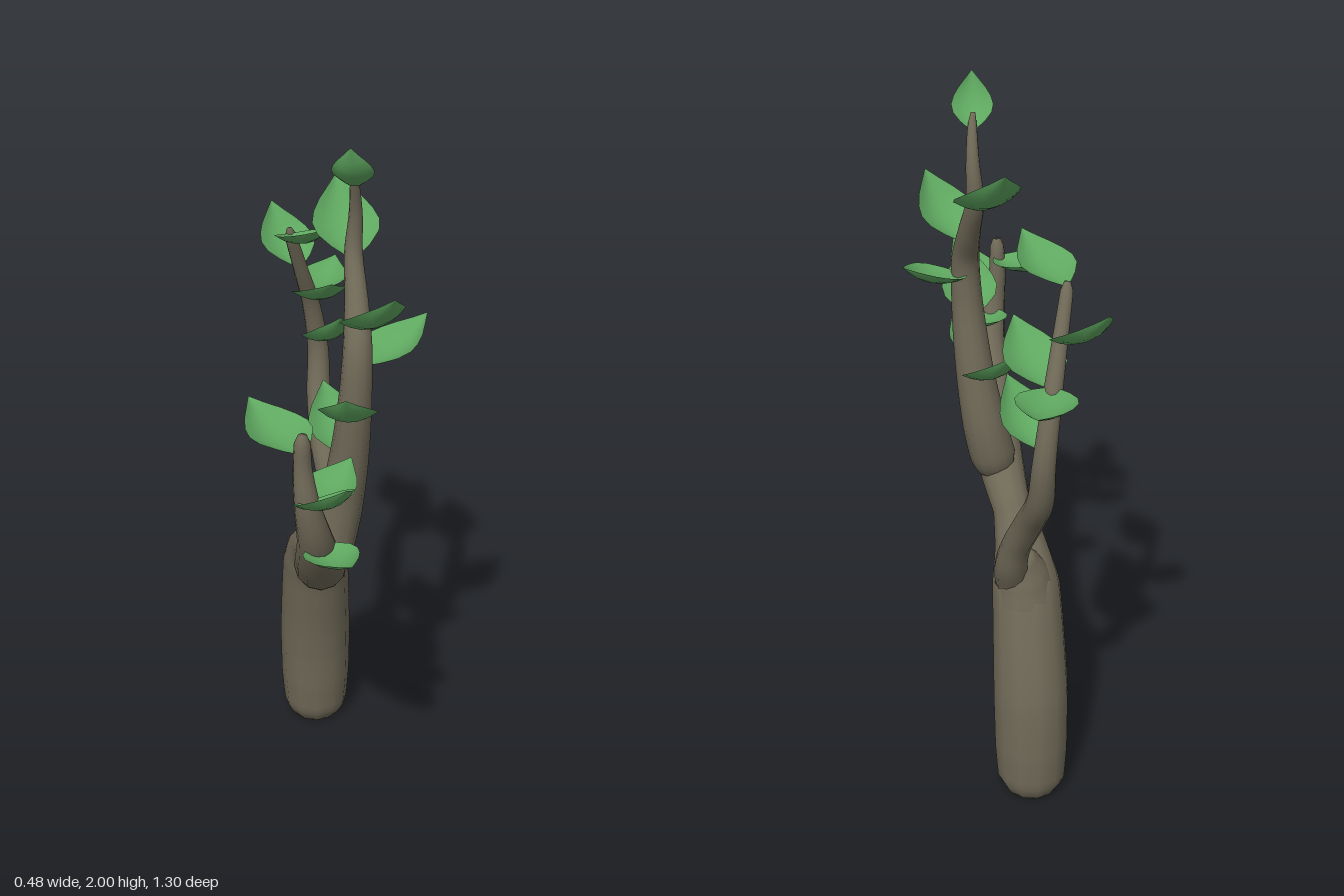
import * as THREE from 'three';

const bark = new THREE.MeshStandardMaterial({ color: 0x6f6957 });
const leafGreen = new THREE.MeshStandardMaterial({ color: 0x5fa860, side: THREE.DoubleSide });

// Tapered, capped limb through points [x, y, z, radius]
function limb(name, pts, steps, sides = 12) {
  const curve = new THREE.CatmullRomCurve3(pts.map(p => new THREE.Vector3(p[0], p[1], p[2])));
  const frames = curve.computeFrenetFrames(steps);
  const pos = [], idx = [];
  for (let i = 0; i <= steps; i++) {
    const c = curve.getPointAt(i / steps);
    const s = curve.getUtoTmapping(i / steps) * (pts.length - 1);
    const k = Math.min(Math.floor(s), pts.length - 2);
    const r = THREE.MathUtils.lerp(pts[k][3], pts[k + 1][3], s - k);
    for (let j = 0; j < sides; j++) {
      const a = (j / sides) * Math.PI * 2;
      const v = c.clone()
        .addScaledVector(frames.normals[i], Math.cos(a) * r)
        .addScaledVector(frames.binormals[i], Math.sin(a) * r);
      pos.push(v.x, v.y, v.z);
      if (i < steps) {
        const p = i * sides + j, q = i * sides + (j + 1) % sides;
        idx.push(p, q, p + sides, q, q + sides, p + sides);
      }
    }
  }
  // End caps
  const start = pos.length / 3, last = steps * sides;
  for (const u of [0, 1]) pos.push(...curve.getPointAt(u).toArray());
  for (let j = 0; j < sides; j++) {
    const n = (j + 1) % sides;
    idx.push(start, n, j, start + 1, last + j, last + n);
  }
  const g = new THREE.BufferGeometry();
  g.setAttribute('position', new THREE.Float32BufferAttribute(pos, 3));
  g.setIndex(idx);
  g.computeVertexNormals();
  const mesh = new THREE.Mesh(g, bark);
  mesh.name = name;
  return mesh;
}

// Unit leaf: base at the origin, tip at +z, edges cupped upwards
function leafGeometry() {
  const halfWidth = [0.04, 0.2, 0.31, 0.34, 0.3, 0.22, 0.11, 0];
  const g = new THREE.PlaneGeometry(2, 1, 6, halfWidth.length - 1);
  const p = g.attributes.position;
  for (let i = 0; i < p.count; i++) {
    const row = Math.floor(i / 7), s = p.getX(i), t = row / (halfWidth.length - 1);
    const w = halfWidth[row];
    p.setXYZ(i, s * w, 0.4 * w * s * s - 0.13 * Math.sin(Math.PI * t), t);
  }
  // rows run base to tip, so flip the winding to face upwards
  const ix = g.index.array;
  for (let i = 0; i < ix.length; i += 3) [ix[i], ix[i + 1]] = [ix[i + 1], ix[i]];
  g.computeVertexNormals();
  if (g.attributes.normal.getY(24) < 0) {
    for (let i = 0; i < ix.length; i += 3) [ix[i], ix[i + 1]] = [ix[i + 1], ix[i]];
    g.computeVertexNormals();
  }
  return g;
}

// Leaf from base to tip, its upper face turned skywards
function leaf(geometry, base, tip) {
  const b = new THREE.Vector3(...base), d = new THREE.Vector3(...tip).sub(b);
  const len = d.length();
  const z = d.normalize();
  const x = new THREE.Vector3(0, 1, 0).cross(z).normalize();
  const y = z.clone().cross(x);
  const mesh = new THREE.Mesh(geometry, leafGreen);
  mesh.name = 'leaf';
  mesh.position.copy(b);
  mesh.quaternion.setFromRotationMatrix(new THREE.Matrix4().makeBasis(x, y, z));
  mesh.scale.setScalar(len);
  return mesh;
}

export function createModel() {
  const model = new THREE.Group();
  model.name = 'tree';

  // Trunk bending forwards into the low front branch
  model.add(limb('trunkAndFrontBranch', [
    [-0.05, 0, -0.29, 0.075], [-0.05, 0.04, -0.29, 0.098], [-0.05, 0.15, -0.285, 0.106],
    [-0.05, 0.32, -0.27, 0.108], [-0.05, 0.5, -0.23, 0.102], [-0.05, 0.64, -0.185, 0.096],
    [-0.05, 0.715, -0.12, 0.075], [-0.05, 0.76, 0, 0.055], [-0.05, 0.805, 0.13, 0.065],
    [-0.05, 0.88, 0.24, 0.072], [-0.06, 0.97, 0.35, 0.06], [-0.07, 1.08, 0.44, 0.046],
    [-0.09, 1.2, 0.476, 0.033], [-0.1, 1.3, 0.475, 0.024], [-0.1, 1.38, 0.48, 0.02],
    [-0.1, 1.395, 0.482, 0.012],
  ], 80));

  // Shoulder where the trunk forks
  model.add(limb('trunkFork', [
    [-0.05, 0.5, -0.23, 0.095], [-0.045, 0.62, -0.21, 0.088], [-0.035, 0.7, -0.215, 0.07],
    [-0.02, 0.765, -0.235, 0.035],
  ], 14));

  // Tall middle branch
  model.add(limb('middleBranch', [
    [-0.04, 0.81, 0.16, 0.045], [-0.02, 0.87, 0.135, 0.066], [0.005, 0.98, 0.13, 0.063],
    [0.03, 1.15, 0.15, 0.053], [0.045, 1.35, 0.175, 0.043], [0.05, 1.48, 0.165, 0.038],
    [0.05, 1.58, 0.105, 0.031], [0.045, 1.69, 0.045, 0.024], [0.05, 1.79, 0.045, 0.018],
    [0.045, 1.88, 0.075, 0.012], [0.04, 1.91, 0.09, 0.006],
  ], 50));

  // Back branch
  model.add(limb('backBranch', [
    [-0.01, 0.66, -0.2, 0.05], [0.005, 0.75, -0.25, 0.046], [0, 0.83, -0.285, 0.04],
    [-0.02, 0.94, -0.35, 0.039], [-0.03, 1.06, -0.435, 0.036], [-0.03, 1.19, -0.47, 0.031],
    [-0.05, 1.34, -0.45, 0.026], [-0.08, 1.47, -0.395, 0.021], [-0.11, 1.6, -0.34, 0.016],
    [-0.112, 1.615, -0.335, 0.008],
  ], 45));

  // Leaves as [base, tip]
  const sets = {
    backLeaves: [
      [[-0.11, 1.6, -0.33], [-0.04, 1.68, -0.135]],
      [[-0.085, 1.48, -0.385], [-0.16, 1.62, -0.56]],
      [[-0.055, 1.38, -0.44], [0.03, 1.415, -0.65]],
      [[-0.05, 1.38, -0.44], [0, 1.49, -0.23]],
      [[-0.03, 1.22, -0.46], [0.03, 1.36, -0.3]],
    ],
    middleLeaves: [
      [[0.045, 1.87, 0.07], [0.03, 2, 0.16]],
      [[0.045, 1.67, 0.035], [0.01, 1.83, -0.17]],
      [[0.05, 1.53, 0.15], [0.13, 1.68, 0.335]],
      [[0.06, 1.43, 0.17], [0.24, 1.52, 0.04]],
      [[0.03, 1.14, 0.12], [-0.03, 1.28, -0.065]],
      [[0.03, 1.29, 0.19], [0.01, 1.43, 0.37]],
    ],
    frontLeaves: [
      [[-0.1, 1.34, 0.475], [-0.23, 1.4, 0.27]],
      [[-0.09, 1.21, 0.485], [0, 1.34, 0.655]],
      [[-0.085, 1.18, 0.465], [0.03, 1.225, 0.28]],
      [[-0.065, 1.05, 0.42], [0.015, 1.1, 0.61]],
    ],
  };
  const geometry = leafGeometry();
  for (const [name, list] of Object.entries(sets)) {
    const group = new THREE.Group();
    group.name = name;
    for (const [base, tip] of list) group.add(leaf(geometry, base, tip));
    model.add(group);
  }
  return model;
}
